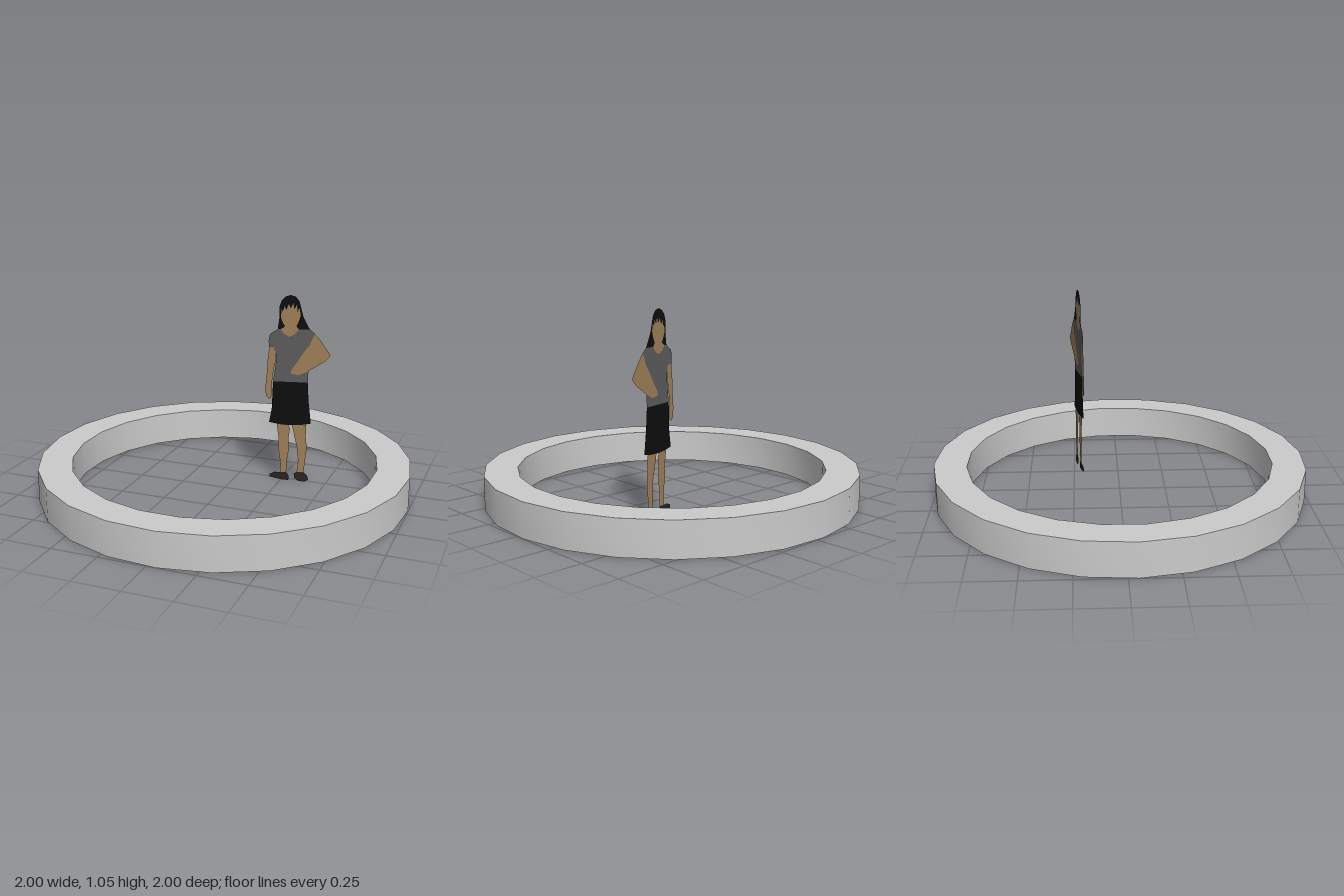
import * as THREE from 'three';
import { toCreasedNormals } from 'three/addons/utils/BufferGeometryUtils.js';

const SKIN = 0xa08058, SHIRT = 0x5c5c5c, BLACK = 0x0e0e0e, SHOE = 0x2a2522;

const toPoints = (list) => list.map(([x, y]) => new THREE.Vector2(x, y));

// Regular 24-sided outline, first corner turned by the given angle
function polygon(radius, turn) {
  return Array.from({ length: 24 }, (_, i) => {
    const a = THREE.MathUtils.degToRad(turn + i * 15);
    return [radius * Math.cos(a), radius * Math.sin(a)];
  });
}

function createRing() {
  const shape = new THREE.Shape(toPoints(polygon(1, 2.9)));
  shape.holes.push(new THREE.Path(toPoints(polygon(0.823, 6.8))));
  const solid = new THREE.ExtrudeGeometry(shape, { depth: 0.182, bevelEnabled: false });
  solid.rotateX(-Math.PI / 2);
  const ring = new THREE.Mesh(toCreasedNormals(solid, 0.6), new THREE.MeshStandardMaterial({ color: 0xcccccc }));
  ring.name = 'ring';
  return ring;
}

// Flat cut-out person; outlines share their borders so no layers overlap
function createFigure() {
  const figure = new THREE.Group();
  figure.name = 'standingFigure';

  const add = (name, color, outline) => {
    const mesh = new THREE.Mesh(
      new THREE.ShapeGeometry(new THREE.Shape(toPoints(outline))),
      new THREE.MeshStandardMaterial({ color, side: THREE.DoubleSide })
    );
    mesh.name = name;
    figure.add(mesh);
  };

  // Shared borders
  const neckline = [[0.24, 0.866], [0.258, 0.842], [0.285, 0.825], [0.312, 0.838], [0.335, 0.867]];
  const faceEdge = [
    [0.322, 0.885], [0.333, 0.91], [0.343, 0.945], [0.336, 0.985], [0.327, 0.962], [0.322, 1.0],
    [0.31, 0.975], [0.303, 1.008], [0.29, 0.98], [0.281, 1.005], [0.268, 0.972], [0.259, 0.992],
    [0.249, 0.96], [0.243, 0.975], [0.241, 0.93], [0.252, 0.9], [0.264, 0.882],
  ];
  const innerForearm = [[0.395, 0.785], [0.365, 0.745], [0.335, 0.695], [0.305, 0.65], [0.295, 0.622]];
  const underForearm = [[0.295, 0.622], [0.34, 0.614], [0.39, 0.64]];

  // Head
  add('faceAndNeck', SKIN, [...neckline, ...faceEdge]);
  add('hair', BLACK, [
    [0.225, 0.865], [0.233, 0.93], [0.231, 0.985], [0.244, 1.022], [0.265, 1.044], [0.29, 1.052],
    [0.316, 1.044], [0.335, 1.02], [0.346, 0.98], [0.356, 0.94], [0.373, 0.905], [0.393, 0.868],
    [0.335, 0.867], ...faceEdge, [0.24, 0.866],
  ]);

  // Clothes
  add('shirt', SHIRT, [
    [0.185, 0.838], [0.225, 0.865], ...neckline, [0.393, 0.868], [0.418, 0.848], [0.405, 0.815],
    ...innerForearm, ...underForearm.slice(1), [0.388, 0.575], [0.205, 0.575], [0.213, 0.64],
    [0.22, 0.7], [0.213, 0.765], [0.182, 0.765], [0.178, 0.8],
  ]);
  add('skirt', BLACK, [
    [0.205, 0.575], [0.388, 0.575], [0.395, 0.47], [0.41, 0.342], [0.36, 0.332], [0.29, 0.328],
    [0.235, 0.332], [0.187, 0.342], [0.2, 0.42],
  ]);

  // Arms
  add('rightArm', SKIN, [
    [0.182, 0.765], [0.213, 0.765], [0.217, 0.69], [0.207, 0.64], [0.198, 0.56], [0.199, 0.52],
    [0.196, 0.482], [0.183, 0.474], [0.168, 0.492], [0.164, 0.54], [0.17, 0.6], [0.174, 0.69],
  ]);
  add('leftArm', SKIN, [
    [0.418, 0.848], [0.45, 0.81], [0.5, 0.737], [0.502, 0.725], [0.475, 0.695],
    ...[...underForearm].reverse(), ...[...innerForearm].reverse().slice(1), [0.405, 0.815],
  ]);

  // Legs
  add('rightLeg', SKIN, [
    [0.228, 0.332], [0.29, 0.328], [0.3, 0.31], [0.292, 0.25], [0.296, 0.19], [0.285, 0.11], [0.284, 0.05],
    [0.25, 0.048], [0.252, 0.1], [0.239, 0.19], [0.24, 0.25],
  ]);
  add('leftLeg', SKIN, [
    [0.31, 0.329], [0.385, 0.334], [0.385, 0.26], [0.392, 0.2], [0.385, 0.13], [0.378, 0.055],
    [0.34, 0.055], [0.347, 0.12], [0.339, 0.2], [0.325, 0.26],
  ]);

  // Shoes
  add('rightShoe', SHOE, [
    [0.25, 0.048], [0.284, 0.05], [0.298, 0.03], [0.296, 0.004], [0.26, 0.006], [0.225, 0.013],
    [0.194, 0.02], [0.194, 0.036], [0.222, 0.05],
  ]);
  add('leftShoe', SHOE, [
    [0.34, 0.055], [0.378, 0.055], [0.398, 0.035], [0.404, 0.012], [0.385, 0], [0.35, 0.002],
    [0.327, 0.02], [0.325, 0.045],
  ]);

  // Turn the cut-out slightly, keeping its frontal width
  const turn = 0.223;
  figure.rotation.y = turn;
  figure.scale.x = 1 / Math.cos(turn);
  figure.position.z = -0.151;
  return figure;
}

export function createModel() {
  const model = new THREE.Group();
  model.add(createRing(), createFigure());
  return model;
}
